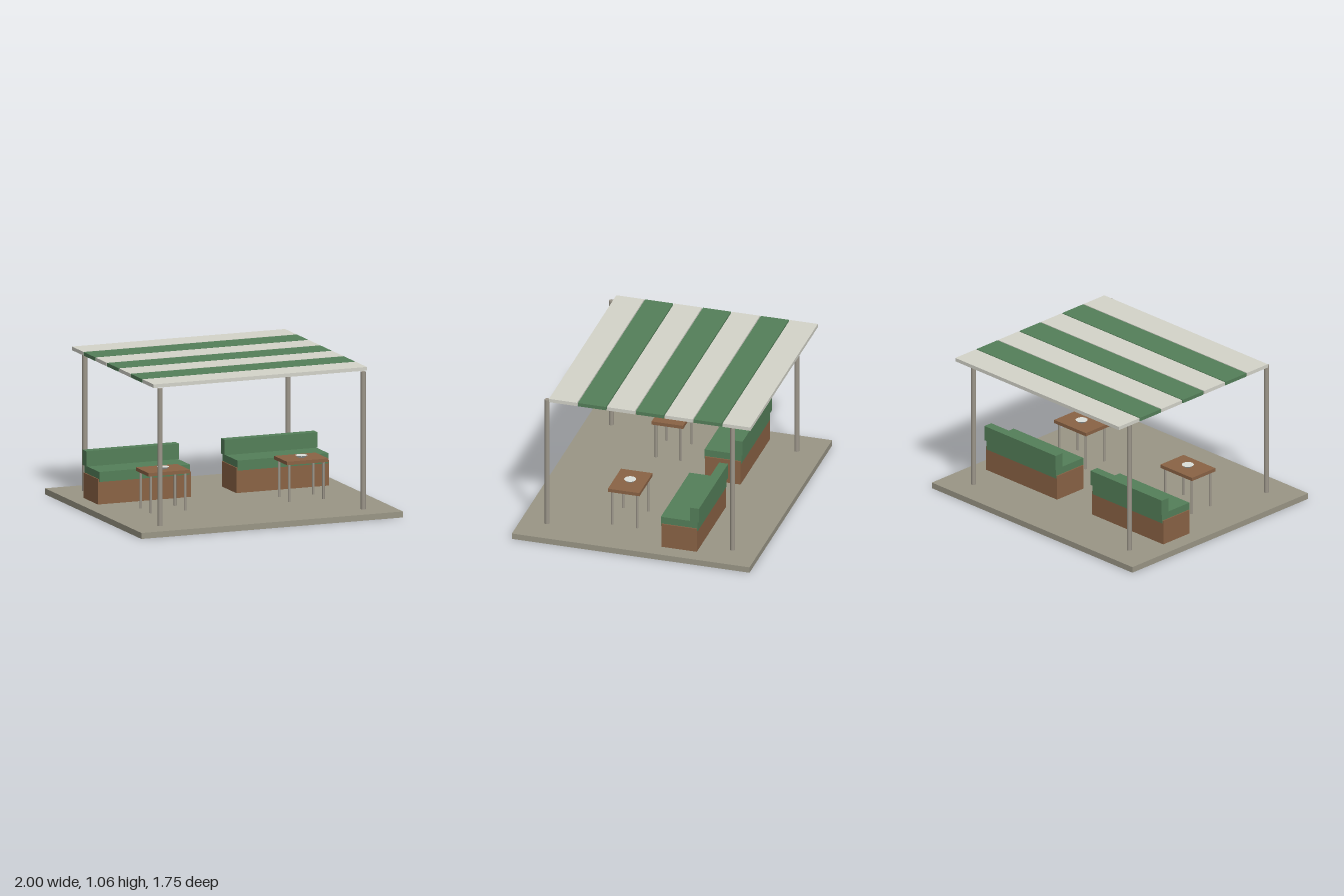
import * as THREE from 'three';

const material = (name, color) => {
  const m = new THREE.MeshStandardMaterial({ color });
  m.name = name;
  return m;
};

export function createModel() {
  const stone = material('stone', 0x9a9686);
  const metal = material('metal', 0x9c968a);
  const cream = material('cream canvas', 0xd4d4ca);
  const green = material('green fabric', 0x547f59);
  const wood = material('wood', 0x8a6345);
  const china = material('china', 0xdcdfda);

  const model = new THREE.Group();
  model.name = 'diningPavilion';

  // Box given by its lower and upper limits on each axis
  const box = (parent, name, mat, [x0, x1], [y0, y1], [z0, z1]) => {
    const mesh = new THREE.Mesh(new THREE.BoxGeometry(x1 - x0, y1 - y0, z1 - z0), mat);
    mesh.position.set((x0 + x1) / 2, (y0 + y1) / 2, (z0 + z1) / 2);
    mesh.name = name;
    parent.add(mesh);
  };
  // Upright round bar between two heights
  const rod = (parent, name, mat, x, z, y0, y1, rTop, rBottom = rTop) => {
    const mesh = new THREE.Mesh(new THREE.CylinderGeometry(rTop, rBottom, y1 - y0, 20), mat);
    mesh.position.set(x, (y0 + y1) / 2, z);
    mesh.name = name;
    parent.add(mesh);
  };

  const ground = 0.043;
  box(model, 'floor', stone, [-1, 1], [0, ground], [-0.875, 0.875]);

  // Corner posts
  for (const x of [-0.777, 0.777])
    for (const z of [-0.683, 0.683]) rod(model, 'post', metal, x, z, ground, 1.03, 0.018);

  // Striped canopy
  const canopy = new THREE.Group();
  canopy.name = 'canopy';
  model.add(canopy);
  for (let i = 0; i < 7; i++) {
    const z = 0.555 - i * 0.213;
    box(canopy, 'canopyStripe', i % 2 ? green : cream, [-0.815, 0.815], [1.03, 1.056], [z - 0.103, z + 0.103]);
  }

  // A bench and a laid table on each side
  for (const side of [-1, 1]) {
    const bench = new THREE.Group();
    bench.name = 'bench';
    bench.position.x = side * 0.529;
    box(bench, 'benchBase', wood, [-0.355, 0.355], [ground, 0.225], [-0.452, -0.19]);
    box(bench, 'seatCushion', green, [-0.347, 0.347], [0.205, 0.277], [-0.456, -0.184]);
    box(bench, 'backrest', green, [-0.355, 0.355], [0.277, 0.387], [-0.467, -0.4]);
    model.add(bench);

    const table = new THREE.Group();
    table.name = 'table';
    table.position.set(side * 0.529, 0, 0.147);
    box(table, 'tableTop', wood, [-0.158, 0.158], [0.311, 0.336], [-0.116, 0.116]);
    for (const x of [-0.131, 0.131])
      for (const z of [-0.092, 0.092]) rod(table, 'tableLeg', metal, x, z, ground, 0.311, 0.009);
    rod(table, 'dish', china, 0, 0, 0.336, 0.351, 0.043, 0.028);
    model.add(table);
  }
  return model;
}
